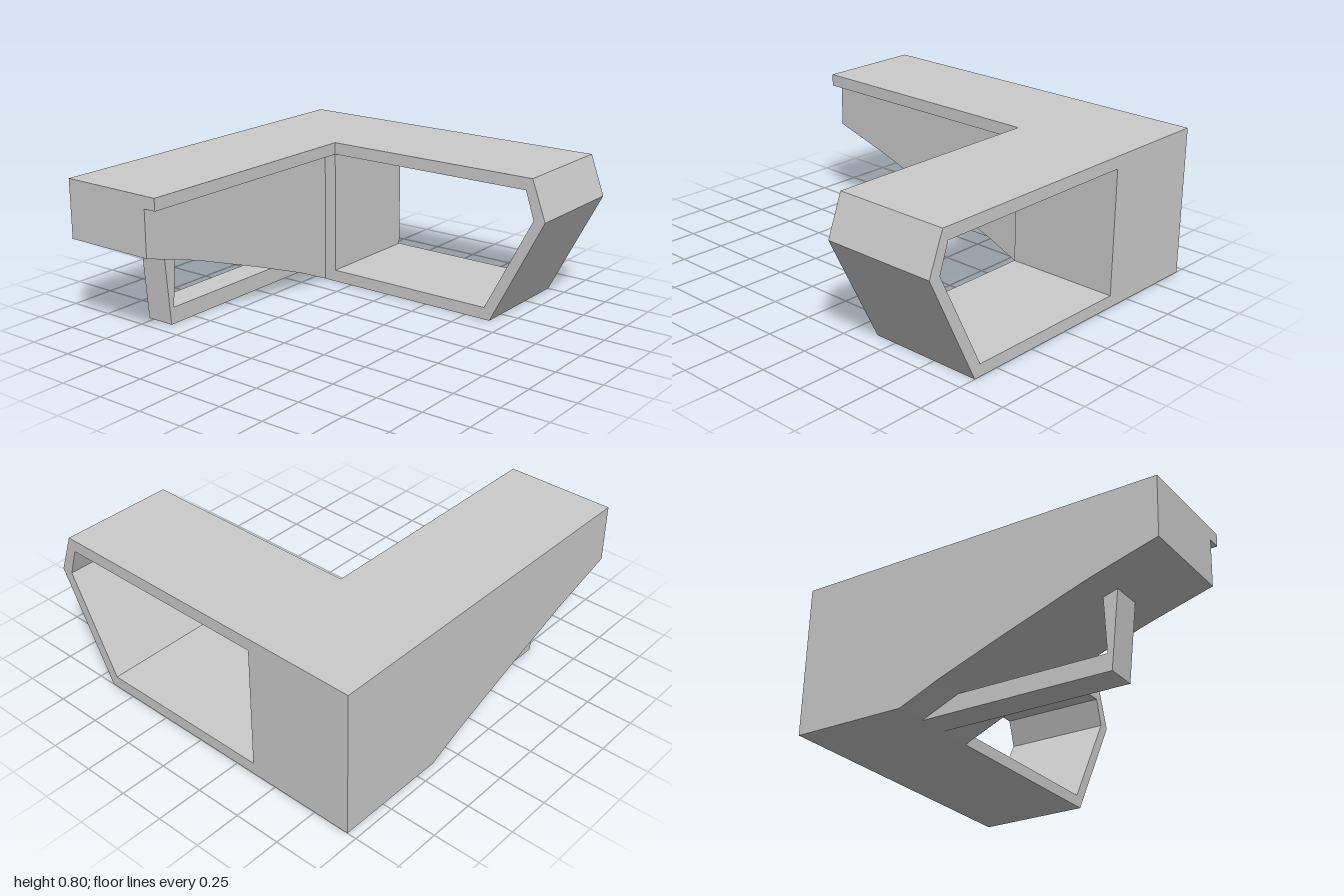
import * as THREE from 'three';

const material = new THREE.MeshStandardMaterial({ color: 0xcccccc, flatShading: true });
const points = (list) => list.map(([x, y]) => new THREE.Vector2(x, y));

// Extrudes an outline (with optional hole) along +z
function slab(outline, depth, hole) {
  const shape = new THREE.Shape(points(outline));
  if (hole) shape.holes.push(new THREE.Path(points(hole)));
  return new THREE.ExtrudeGeometry(shape, { depth, bevelEnabled: false });
}

export function createModel() {
  const group = new THREE.Group();
  const add = (name, geometry) => {
    const mesh = new THREE.Mesh(geometry, material);
    mesh.name = name;
    group.add(mesh);
  };

  // Front wing: a folded band drawn in (z, y), open on both sides
  const band = slab(
    [[-0.95, 0], [0.65, 0], [0.95, 0.585], [0.87, 0.8], [-0.95, 0.8]],
    0.62,
    [[-0.36, 0.065], [-0.36, 0.735], [0.835, 0.735], [0.885, 0.585], [0.615, 0.065]]
  );
  band.rotateY(-Math.PI / 2).translate(1, 0, 0);
  add('frontWing', band);

  // Cantilevered wing with a gently curving underside
  const cantilever = slab(
    [[0.38, 0], [0.38, 0.8], [-1, 0.8], [-1, 0.487], [-0.7, 0.4], [-0.62, 0.375], [-0.2, 0.228], [0.16, 0.095]],
    0.52
  );
  cantilever.translate(0, 0, -0.95);
  add('cantileverWing', cantilever);

  // Roof edge overhanging the recessed wall
  const overhang = new THREE.BoxGeometry(1.38, 0.065, 0.07);
  overhang.translate(-0.31, 0.7675, -0.395);
  add('roofOverhang', overhang);

  // Ground bar and flared leg carrying the cantilever
  const support = slab(
    [[-0.663, 0], [0.38, 0], [0.2, 0.09], [-0.64, 0.09], [-0.617, 0.42], [-0.699, 0.43]],
    0.16
  );
  support.translate(0, 0, -0.78);
  add('supportFrame', support);

  return group;
}
